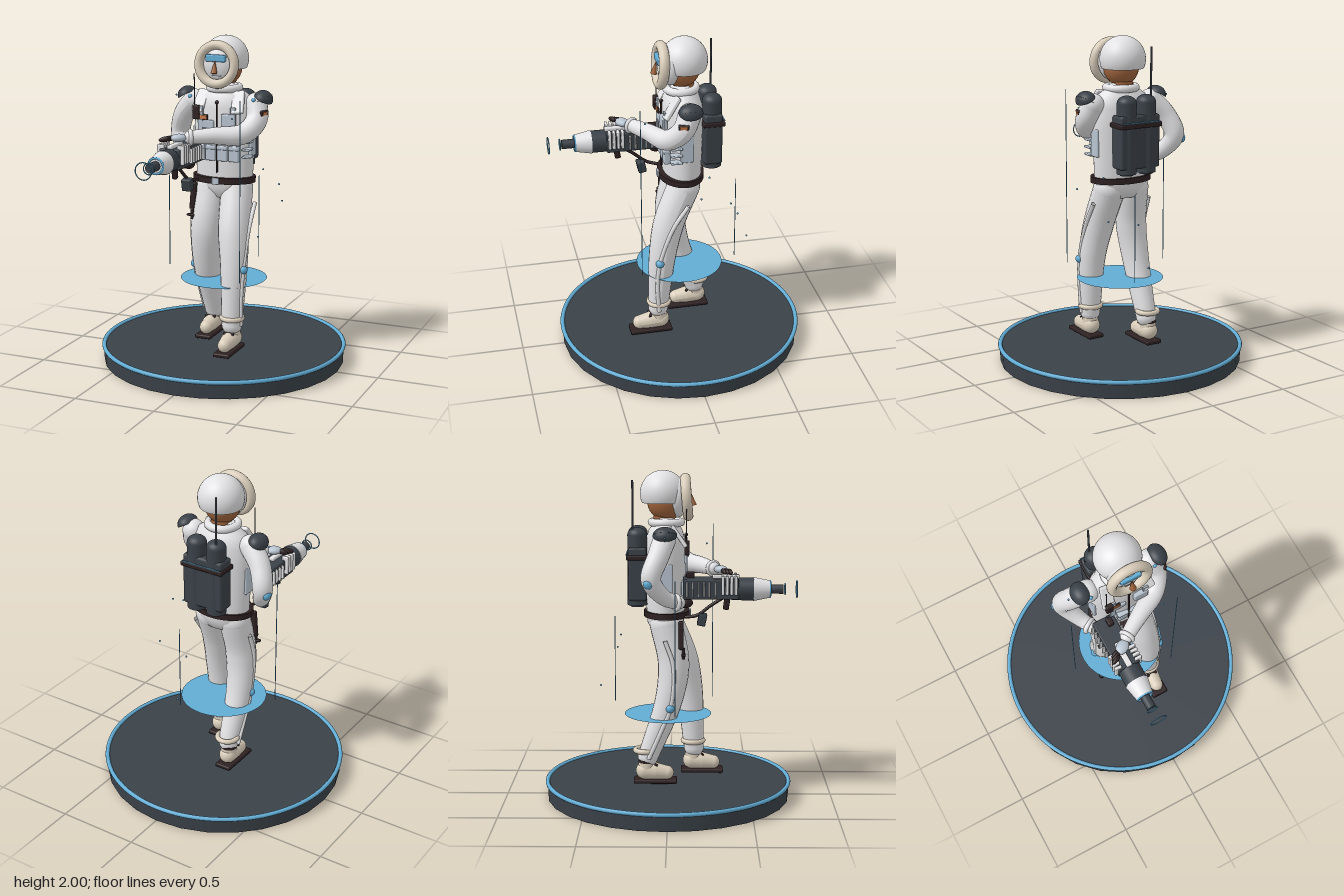
import * as THREE from 'three';
import { RoundedBoxGeometry } from 'three/addons/geometries/RoundedBoxGeometry.js';

const mat = (name, color, side = THREE.FrontSide) => {
  const m = new THREE.MeshStandardMaterial({ color, side });
  m.name = name;
  return m;
};
const V = (p) => new THREE.Vector3(...p);

export function createModel() {
  const white = mat('suit white', 0xe2e2e4, THREE.DoubleSide);
  const dark = mat('slate', 0x3a4148);
  const brown = mat('dark leather', 0x2e2122);
  const beige = mat('fur beige', 0xd9cdba);
  const blue = mat('light blue', 0x62acd4, THREE.DoubleSide);
  const skin = mat('skin', 0xa0643c);
  const grey = mat('pale grey blue', 0xb8c4d0);
  const orange = mat('patch orange', 0xc87a48);

  const root = new THREE.Group();
  root.name = 'polarTrooper';
  const add = (name, geo, m, pos = [0, 0, 0], rot = [0, 0, 0], scale = [1, 1, 1]) => {
    const mesh = new THREE.Mesh(geo, m);
    mesh.name = name;
    mesh.position.set(...pos);
    mesh.rotation.set(...rot);
    mesh.scale.set(...scale);
    root.add(mesh);
    return mesh;
  };
  const ball = (name, m, pos, scale, rot) => add(name, new THREE.SphereGeometry(1, 28, 18), m, pos, rot, scale);
  const box = (name, m, pos, size, rot, r = 0.008) =>
    add(name, new RoundedBoxGeometry(...size, 2, Math.min(r, Math.min(...size) * 0.4)), m, pos, rot);
  const cyl = (name, m, pos, r1, r2, h, rot) => add(name, new THREE.CylinderGeometry(r1, r2, h, 28), m, pos, rot);
  const zCyl = (name, m, z, rFront, rBack, h) => cyl(name, m, [-0.165, 1.31, z], rFront, rBack, h, [Math.PI / 2, 0, 0]);
  const tube = (name, m, pts, r) =>
    add(name, new THREE.TubeGeometry(new THREE.CatmullRomCurve3(pts.map(V)), 30, r, 10), m);

  // Swept limb whose radius changes along its path, with rounded ends
  const limb = (name, m, pts, radii) => {
    const path = new THREE.CatmullRomCurve3(pts.map(V));
    const n = 32, sides = 20;
    const geo = new THREE.TubeGeometry(path, n, 1, sides);
    const p = geo.attributes.position, v = new THREE.Vector3();
    for (let i = 0; i <= n; i++) {
      const f = (i / n) * (radii.length - 1), k = Math.min(Math.floor(f), radii.length - 2);
      const r = THREE.MathUtils.lerp(radii[k], radii[k + 1], f - k), c = path.getPointAt(i / n);
      for (let j = 0; j <= sides; j++) {
        const id = i * (sides + 1) + j;
        v.fromBufferAttribute(p, id).sub(c).multiplyScalar(r).add(c);
        p.setXYZ(id, v.x, v.y, v.z);
      }
    }
    geo.computeVertexNormals();
    add(name, geo, m);
    [0, radii.length - 1].forEach((i) =>
      ball(name + 'End', m, pts[i ? pts.length - 1 : 0], [radii[i], radii[i], radii[i]]));
  };

  // Display base
  cyl('base', dark, [0, 0.05, -0.005], 0.747, 0.743, 0.1);
  add('baseRim', new THREE.TorusGeometry(0.743, 0.013, 12, 96), blue, [0, 0.1, -0.005], [Math.PI / 2, 0, 0]);
  add('hoverDisc', new THREE.CircleGeometry(0.265, 64), blue, [0, 0.515, -0.005], [-Math.PI / 2, 0, 0]);

  // Light beams and drifting motes
  [[-0.345, 0.04, 1.38], [0.217, 0.27, 1.66], [0.1, -0.333, 1.1]].forEach(([x, z, top]) =>
    cyl('beam', blue, [x, (top + 0.57) / 2, z], 0.0025, 0.0025, top - 0.57));
  [[0.335, 1.115, -0.065], [0.265, 0.955, -0.305], [0.2, 1.18, -0.145], [0.06, 0.675, -0.42],
    [0.065, 0.915, -0.315], [0.15, 1.545, 0.23], [-0.32, 1.625, -0.02]].forEach((p) =>
    ball('mote', blue, p, [0.006, 0.006, 0.006]));

  // Legs and boots; the left leg steps forward
  const legs = [
    { s: 1, knee: [0.12, 0.64, 0.125], low: [0.12, 0.27, 0.155], foot: 0.205, midZ: 0.08 },
    { s: -1, knee: [-0.115, 0.62, 0.0], low: [-0.115, 0.27, -0.125], foot: -0.08, midZ: 0.03 },
  ];
  legs.forEach(({ s, knee, low, foot, midZ }) => {
    limb('leg', white, [[s * 0.082, 1.08, -0.015], [s * 0.1, 0.85, midZ], knee, low], [0.098, 0.094, 0.078, 0.062]);
    add('furCuff', new THREE.TorusGeometry(0.062, 0.016, 10, 32), beige,
      [low[0], 0.312, low[2] - (s > 0 ? 0.005 : 0.015)], [Math.PI / 2, 0, 0]);
    // Side hose with knee node
    const kneeOut = [knee[0] + s * 0.073, s > 0 ? 0.62 : 0.585, knee[2] + (s > 0 ? 0.03 : 0.01)];
    tube('legHose', white, [[s * 0.197, 1.0, -0.02], [s * 0.195, 0.84, midZ], kneeOut,
      [s * 0.186, 0.45, (kneeOut[2] + low[2]) / 2 + 0.015], [s * 0.18, 0.27, low[2] + 0.005]], 0.013);
    ball('kneeNode', blue, kneeOut, [0.026, 0.026, 0.026]);
    // Boot
    const x = s * 0.122;
    box('sole', brown, [x, 0.124, foot], [0.105, 0.024, 0.262]);
    limb('boot', beige, [[x, 0.185, foot - 0.065], [x, 0.18, foot], [x, 0.172, foot + 0.07]], [0.054, 0.052, 0.042]);
    cyl('bootShaft', beige, [x, 0.215, foot - 0.055], 0.047, 0.053, 0.08);
    cyl('bootBand', brown, [x, 0.247, foot - 0.053], 0.051, 0.051, 0.018);
    box('bootLace', brown, [x, 0.225, foot + 0.005], [0.07, 0.01, 0.02], [0.5, 0, 0]);
  });

  // Torso, yoke and collar
  const profile = [[0, 1.02], [0.13, 1.03], [0.172, 1.09], [0.178, 1.15], [0.183, 1.28], [0.19, 1.45],
    [0.187, 1.58], [0.155, 1.65], [0.095, 1.69], [0.075, 1.72], [0, 1.72]];
  add('torso', new THREE.LatheGeometry(profile.map((p) => new THREE.Vector2(...p)), 40), white,
    [0, 0, -0.02], [0, 0, 0], [1, 1, 0.64]);
  add('collar', new THREE.TorusGeometry(0.088, 0.024, 12, 36), white, [0, 1.69, -0.015], [Math.PI / 2, 0, 0]);
  cyl('neck', skin, [0, 1.73, -0.03], 0.06, 0.065, 0.1);
  [1, -1].forEach((s) => {
    box('shoulderStrap', white, [s * 0.12, 1.615, 0.065], [0.075, 0.15, 0.025], [-0.6, 0, s * 0.15]);
    box('harnessStrap', grey, [s * 0.105, 1.49, 0.105], [0.035, 0.2, 0.012]);
    box('sidePocket', grey, [s * 0.18, 1.37, -0.015], [0.02, 0.17, 0.08]);
    // Domed shoulder guard with a blue lower rim
    add('shoulderGuard', new THREE.SphereGeometry(1, 28, 12, 0, Math.PI * 2, 0, Math.PI / 2), dark,
      [s * 0.247, 1.632, -0.02], [0, 0, -s * 0.5], [0.057, 0.052, 0.072]);
    add('guardUnderside', new THREE.CircleGeometry(1, 28), dark,
      [s * 0.247, 1.632, -0.02], [Math.PI / 2, s * 0.5, 0], [0.057, 0.072, 1]);
    ball('guardStud', blue, [s * 0.205, 1.63, 0.03], [0.013, 0.013, 0.013]);
  });

  // Belt, zip and chest gear
  add('belt', new THREE.CylinderGeometry(0.197, 0.197, 0.036, 48), brown, [0, 1.142, -0.012], [0, 0, 0], [1, 1, 0.7]);
  box('buckle', grey, [0, 1.142, 0.127], [0.045, 0.042, 0.014]);
  box('zip', brown, [0, 1.4, 0.104], [0.009, 0.42, 0.012]);
  ball('zipPull', brown, [0, 1.615, 0.104], [0.011, 0.011, 0.011]);
  [-0.11, -0.04, 0.035, 0.11].forEach((x) => {
    box('bellyPouch', grey, [x, 1.305, 0.095], [0.064, 0.085, 0.04]);
    box('pouchFlap', grey, [x, 1.344, 0.1], [0.068, 0.025, 0.042]);
  });
  box('chestPouch', grey, [0.075, 1.51, 0.105], [0.09, 0.075, 0.03]);
  box('chestPanel', grey, [-0.07, 1.48, 0.1], [0.1, 0.05, 0.02]);
  box('chestPatch', brown, [-0.085, 1.522, 0.106], [0.055, 0.034, 0.012]);
  box('chestPatchFace', orange, [-0.085, 1.522, 0.112], [0.046, 0.025, 0.008]);
  box('radio', brown, [-0.13, 1.55, 0.11], [0.045, 0.085, 0.03]);
  cyl('radioAntenna', dark, [-0.145, 1.68, 0.105], 0.003, 0.003, 0.2);
  for (let i = 0; i < 4; i++)
    box('sideLoop', grey, [0.175, 1.29 + i * 0.045, 0.05], [0.05, 0.014, 0.07]);

  // Arms
  limb('leftArm', white, [[0.2, 1.6, -0.025], [0.22, 1.51, 0.02], [0.165, 1.435, 0.1], [0.02, 1.43, 0.19],
    [-0.1, 1.425, 0.265]], [0.068, 0.064, 0.06, 0.05, 0.04]);
  limb('rightArm', white, [[-0.2, 1.6, -0.025], [-0.285, 1.51, -0.06], [-0.33, 1.385, -0.1], [-0.27, 1.27, -0.02],
    [-0.22, 1.235, 0.06]], [0.068, 0.064, 0.06, 0.05, 0.04]);
  box('armPatch', brown, [0.268, 1.55, 0.025], [0.02, 0.045, 0.065], [0, -0.3, -0.2]);
  box('armPatchFace', orange, [0.276, 1.55, 0.027], [0.009, 0.03, 0.045], [0, -0.3, -0.2]);
  ball('elbowPad', blue, [-0.368, 1.365, -0.115], [0.025, 0.03, 0.03]);
  add('leftCuff', new THREE.TorusGeometry(0.038, 0.013, 10, 24), white, [-0.1, 1.425, 0.265], [0, -1.02, 0]);
  add('rightCuff', new THREE.TorusGeometry(0.04, 0.014, 10, 24), white, [-0.235, 1.24, 0.045], [0, 0.55, 0]);
  ball('leftHand', grey, [-0.155, 1.425, 0.31], [0.048, 0.024, 0.036], [0, 0.6, 0]);
  for (let i = 0; i < 3; i++)
    ball('leftFinger', brown, [-0.205 - i * 0.009, 1.42, 0.325 + i * 0.018], [0.034, 0.016, 0.013], [0, 0.35, 0.2]);
  ball('rightHand', brown, [-0.185, 1.23, 0.1], [0.036, 0.032, 0.045]);

  // Head, mask, hood and fur ruff
  ball('head', skin, [0, 1.815, -0.015], [0.105, 0.115, 0.115]);
  add('hood', new THREE.SphereGeometry(0.138, 40, 24, 0, Math.PI * 2, 0, Math.PI * 0.63), white, [0, 1.862, -0.035]);
  ball('faceMask', white, [0, 1.84, 0.05], [0.112, 0.122, 0.075]);
  add('furRuff', new THREE.TorusGeometry(0.115, 0.028, 14, 48), beige, [0, 1.84, 0.107], [-0.08, 0, 0], [0.98, 1, 1.1]);
  box('goggles', blue, [0, 1.878, 0.117], [0.125, 0.042, 0.03]);
  add('nose', new THREE.ConeGeometry(0.02, 0.085, 16), skin, [0, 1.832, 0.138], [-0.22, 0, 0]);
  box('mouthSeam', grey, [0, 1.775, 0.109], [0.06, 0.006, 0.012]);

  // Backpack with twin tanks and antenna
  box('packBody', dark, [0, 1.39, -0.185], [0.27, 0.32, 0.11], [0, 0, 0], 0.015);
  [1, -1].forEach((s) => {
    cyl('tank', dark, [s * 0.067, 1.41, -0.188], 0.059, 0.059, 0.42);
    ball('tankDome', dark, [s * 0.067, 1.62, -0.188], [0.059, 0.045, 0.059]);
    cyl('tankNozzle', dark, [s * 0.067, 1.205, -0.188], 0.045, 0.04, 0.03);
  });
  box('packStrap', brown, [0, 1.49, -0.186], [0.285, 0.03, 0.135]);
  box('packLight', blue, [0, 1.508, -0.252], [0.26, 0.007, 0.006]);
  cyl('packAntenna', dark, [-0.085, 1.77, -0.215], 0.006, 0.006, 0.35);

  // Heavy gun along the right side
  box('receiver', dark, [-0.165, 1.315, 0.25], [0.135, 0.12, 0.33]);
  zCyl('drum', dark, 0.44, 0.067, 0.067, 0.13);
  zCyl('nozzle', white, 0.55, 0.052, 0.071, 0.095);
  zCyl('barrel', dark, 0.635, 0.028, 0.028, 0.09);
  [[0.046, 0.6], [0.033, 0.69], [0.05, 0.76]].forEach(([r, z], i) =>
    add('muzzleRing', new THREE.TorusGeometry(r, i ? 0.0035 : 0.007, 8, 36), blue, [-0.165, 1.31, z]));
  for (let i = 0; i < 4; i++)
    [1, -1].forEach((s) => box('coolingBlock', white, [-0.165 + s * 0.065, 1.34, 0.32 + i * 0.026], [0.045, 0.115, 0.018]));
  for (let i = 0; i < 6; i++)
    box('coolingFin', white, [-0.165, 1.315, 0.11 + i * 0.033], [0.172, 0.09, 0.01]);
  box('topRail', white, [-0.165, 1.385, 0.34], [0.035, 0.025, 0.16]);
  box('gunSight', brown, [-0.14, 1.39, 0.13], [0.035, 0.04, 0.05]);
  box('foreGrip', brown, [-0.165, 1.225, 0.345], [0.03, 0.08, 0.035], [0.15, 0, 0]);
  tube('powerHose', brown, [[-0.165, 1.255, 0.32], [-0.165, 1.21, 0.25], [-0.155, 1.15, 0.17], [-0.13, 1.135, 0.1]], 0.01);

  // Hip pouch and hanging knife
  box('hipPouch', dark, [-0.15, 1.125, 0.2], [0.062, 0.075, 0.05], [0.2, 0, 0]);
  box('knifeSheath', brown, [-0.168, 1.03, 0.075], [0.034, 0.17, 0.03], [0, 0, -0.08]);
  box('knifeGuard', brown, [-0.168, 0.912, 0.09], [0.07, 0.014, 0.025]);
  box('knifeTip', brown, [-0.17, 0.92, 0.09], [0.022, 0.07, 0.02]);

  return root;
}
